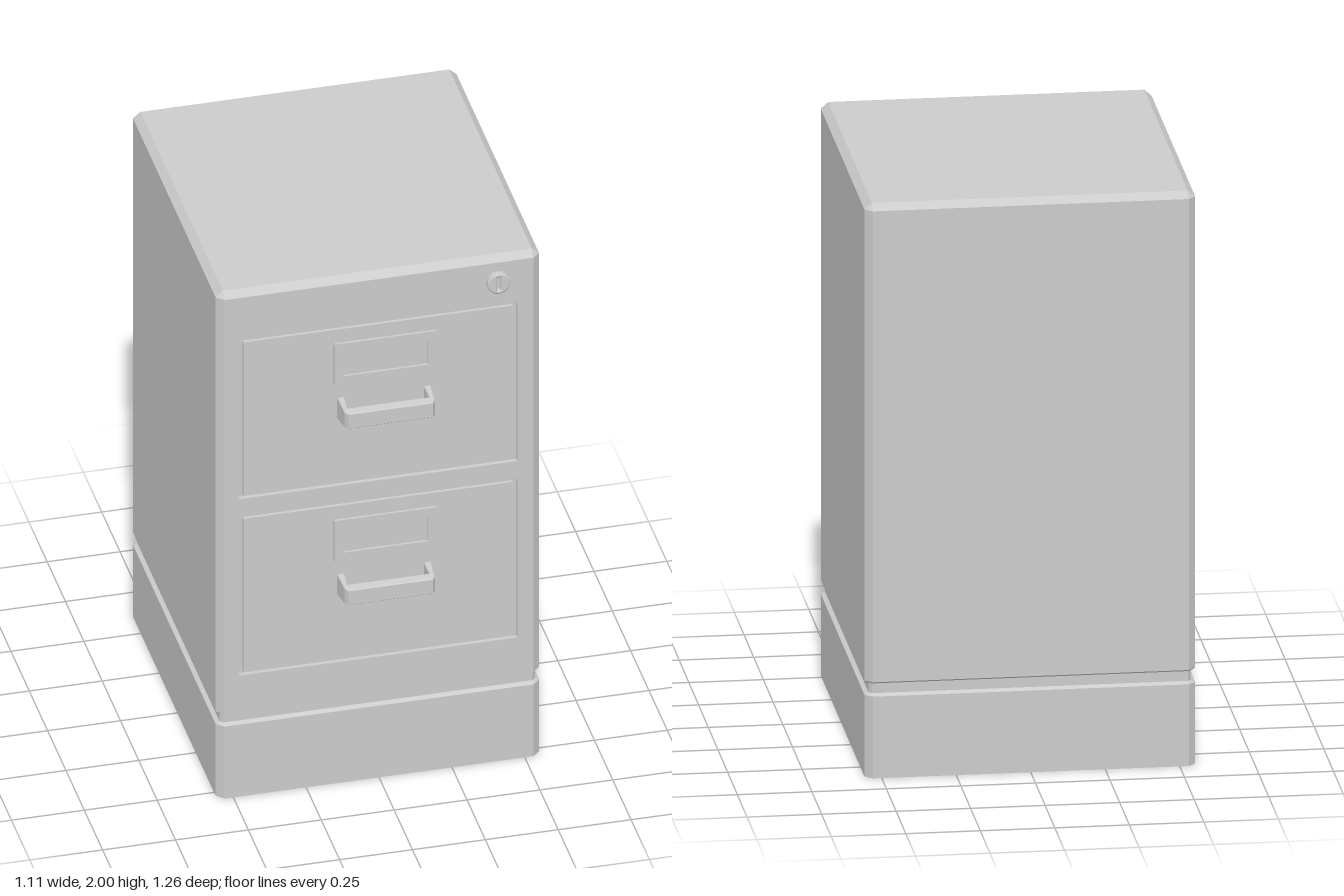
import * as THREE from 'three';

const material = new THREE.MeshStandardMaterial({ color: 0xcccccc, flatShading: true, side: THREE.DoubleSide });
const HALF_X = 0.555, FRONT = 0.545, BACK = -0.63, CHAMFER = 0.025;

function add(parent, name, geometry, x = 0, y = 0, z = 0) {
  const mesh = new THREE.Mesh(geometry, material);
  mesh.name = name;
  mesh.position.set(x, y, z);
  parent.add(mesh);
  return mesh;
}

function rect(Type, x0, x1, y0, y1) {
  return new Type([[x0, y0], [x1, y0], [x1, y1], [x0, y1]].map(p => new THREE.Vector2(...p)));
}

// Rectangular slab with rectangular openings
function frame(outer, holes, depth) {
  const shape = rect(THREE.Shape, ...outer);
  holes.forEach(h => shape.holes.push(rect(THREE.Path, ...h)));
  return new THREE.ExtrudeGeometry(shape, { depth, bevelEnabled: false });
}

// Chamfered-rectangle outline at one height, counter-clockwise seen from above
function ring(y, inset) {
  const x = HALF_X - inset, f = FRONT - inset, b = BACK + inset;
  const cx = HALF_X - CHAMFER, cf = FRONT - CHAMFER, cb = BACK + CHAMFER;
  return [[-cx, f], [cx, f], [x, cf], [x, cb], [cx, b], [-cx, b], [-x, cb], [-x, cf]]
    .map(([px, pz]) => [px, y, pz]);
}

// Joins the outlines; the front face of segment openSegment is left for the fascia
function loft(sections, openSegment) {
  const rings = sections.map(s => ring(...s)), pos = [];
  const tri = (a, b, c) => pos.push(...a, ...b, ...c);
  for (let s = 0; s < rings.length - 1; s++) {
    for (let i = 0; i < 8; i++) {
      if (s === openSegment && i === 0) continue;
      const j = (i + 1) % 8, lo = rings[s], hi = rings[s + 1];
      tri(lo[i], lo[j], hi[j]);
      tri(lo[i], hi[j], hi[i]);
    }
  }
  const bottom = rings[0], top = rings[rings.length - 1];
  for (let i = 1; i < 7; i++) {
    tri(top[0], top[i], top[i + 1]);
    tri(bottom[0], bottom[i + 1], bottom[i]);
  }
  const geometry = new THREE.BufferGeometry();
  geometry.setAttribute('position', new THREE.Float32BufferAttribute(pos, 3));
  geometry.computeVertexNormals();
  return geometry;
}

// U-shaped pull, extruded vertically and tapered towards the front
function handleGeometry() {
  const outline = [[-0.162, -0.005], [-0.155, 0.07], [-0.145, 0.085], [0.145, 0.085], [0.155, 0.07],
    [0.162, -0.005], [0.135, -0.005], [0.14, 0.053], [-0.14, 0.053], [-0.135, -0.005]];
  const shape = new THREE.Shape(outline.map(p => new THREE.Vector2(...p)));
  const g = new THREE.ExtrudeGeometry(shape, {
    depth: 0.077, bevelThickness: 0.004, bevelSize: 0.004, bevelOffset: -0.004, bevelSegments: 1
  });
  g.translate(0, 0, -0.0385).rotateX(Math.PI / 2);
  const p = g.attributes.position;
  for (let i = 0; i < p.count; i++) {
    p.setY(i, p.getY(i) * (1 - 0.3 * Math.max(0, p.getZ(i)) / 0.085));
  }
  g.computeVertexNormals();
  return g;
}

function createDrawer(y) {
  const drawer = new THREE.Group();
  drawer.name = 'drawer';
  // Panel sits in the opening with a narrow gap all round
  add(drawer, 'drawerPanel', new THREE.BoxGeometry(0.925, 0.605, 0.015), -0.0025, 0.315, 0.5345);
  add(drawer, 'labelHolder', frame([-0.155, 0.197, 0.405, 0.565], [[-0.125, 0.167, 0.435, 0.53]], 0.01), 0, 0, 0.541);
  add(drawer, 'handle', handleGeometry(), 0.019, 0.305, FRONT);
  drawer.position.y = y;
  return drawer;
}

function createLock() {
  const lock = new THREE.Group();
  lock.name = 'lock';
  const face = new THREE.Shape().absarc(0, 0, 0.04, 0, Math.PI * 2);
  face.holes.push(rect(THREE.Path, -0.006, 0.006, -0.025, 0.025));
  add(lock, 'lockBarrel', new THREE.ExtrudeGeometry(face, {
    depth: 0.016, curveSegments: 12, bevelThickness: 0.004, bevelSize: 0.005, bevelOffset: -0.005, bevelSegments: 1
  }));
  add(lock, 'keySlotFloor', new THREE.PlaneGeometry(0.03, 0.06), 0, 0, 0.005);
  lock.position.set(0.407, 1.905, FRONT);
  return lock;
}

export function createModel() {
  const cabinet = new THREE.Group();
  cabinet.name = 'filingCabinet';

  // Plinth, shadow groove and bevelled carcass
  add(cabinet, 'carcass', loft([[0, 0], [0.285, 0], [0.293, 0.014], [0.327, 0.014],
    [0.335, 0], [1.978, 0], [2, CHAMFER]], 4));

  // Front face with drawer openings
  const bottoms = [0.48, 1.18];
  const edge = HALF_X - CHAMFER;
  const openings = bottoms.map(y => [-0.48, 0.475, y, y + 0.63]);
  add(cabinet, 'fascia', frame([-edge, edge, 0.335, 1.978], openings, 0.015), 0, 0, FRONT - 0.015);
  add(cabinet, 'openingBack', new THREE.PlaneGeometry(1.04, 1.5), 0, 1.15, FRONT - 0.015);

  bottoms.forEach(y => cabinet.add(createDrawer(y)));
  cabinet.add(createLock());
  return cabinet;
}
